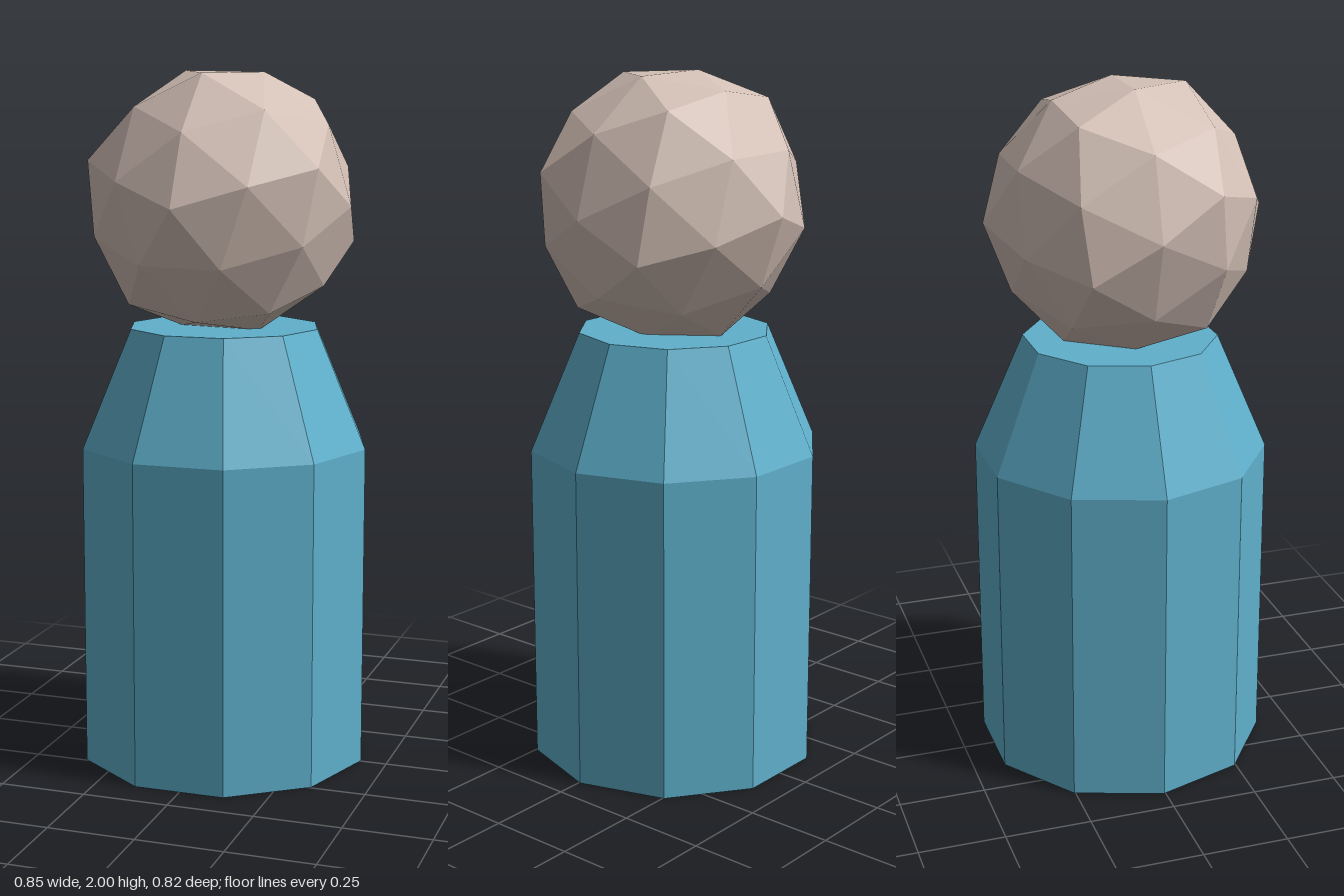
import * as THREE from 'three';

// Unshared corners give each face its own flat normal.
function faceted(geometry) {
  const flat = geometry.index ? geometry.toNonIndexed() : geometry;
  flat.computeVertexNormals();
  return flat;
}

function part(name, geometry, color) {
  const material = new THREE.MeshStandardMaterial({ color, flatShading: true });
  const mesh = new THREE.Mesh(faceted(geometry), material);
  mesh.name = name;
  return mesh;
}

// Ten-sided column with sloping shoulders, closed at both ends.
function bodyGeometry() {
  const profile = [[0, 0], [0.425, 0], [0.425, 0.935], [0.28, 1.275], [0, 1.275]];
  return new THREE.LatheGeometry(
    profile.map(([r, y]) => new THREE.Vector2(r, y)), 10, Math.PI / 2);
}

// Once-divided icosahedron whose twelve main corners stand out slightly.
function headGeometry() {
  const geometry = new THREE.IcosahedronGeometry(1, 1);
  const position = geometry.attributes.position;
  const v = new THREE.Vector3();
  for (let i = 0; i < position.count; i++) {
    v.fromBufferAttribute(position, i);
    const zeros = v.toArray().filter((c) => Math.abs(c) < 0.01).length;
    v.setLength(zeros === 1 ? 0.402 : 0.384);
    position.setXYZ(i, v.x, v.y, v.z);
  }
  // Turn a main corner to face the front.
  geometry.rotateX(-Math.atan(2 / (1 + Math.sqrt(5))));
  return geometry;
}

export function createModel() {
  const model = new THREE.Group();
  model.name = 'pegFigure';

  const body = part('body', bodyGeometry(), 0x5fb0cc);
  body.position.set(-0.002, 0, -0.004);

  const head = part('head', headGeometry(), 0xd3c0b6);
  head.position.set(-0.004, 1.635, 0.006);
  head.rotation.set(0, -0.035, -0.02);

  model.add(body, head);
  return model;
}
